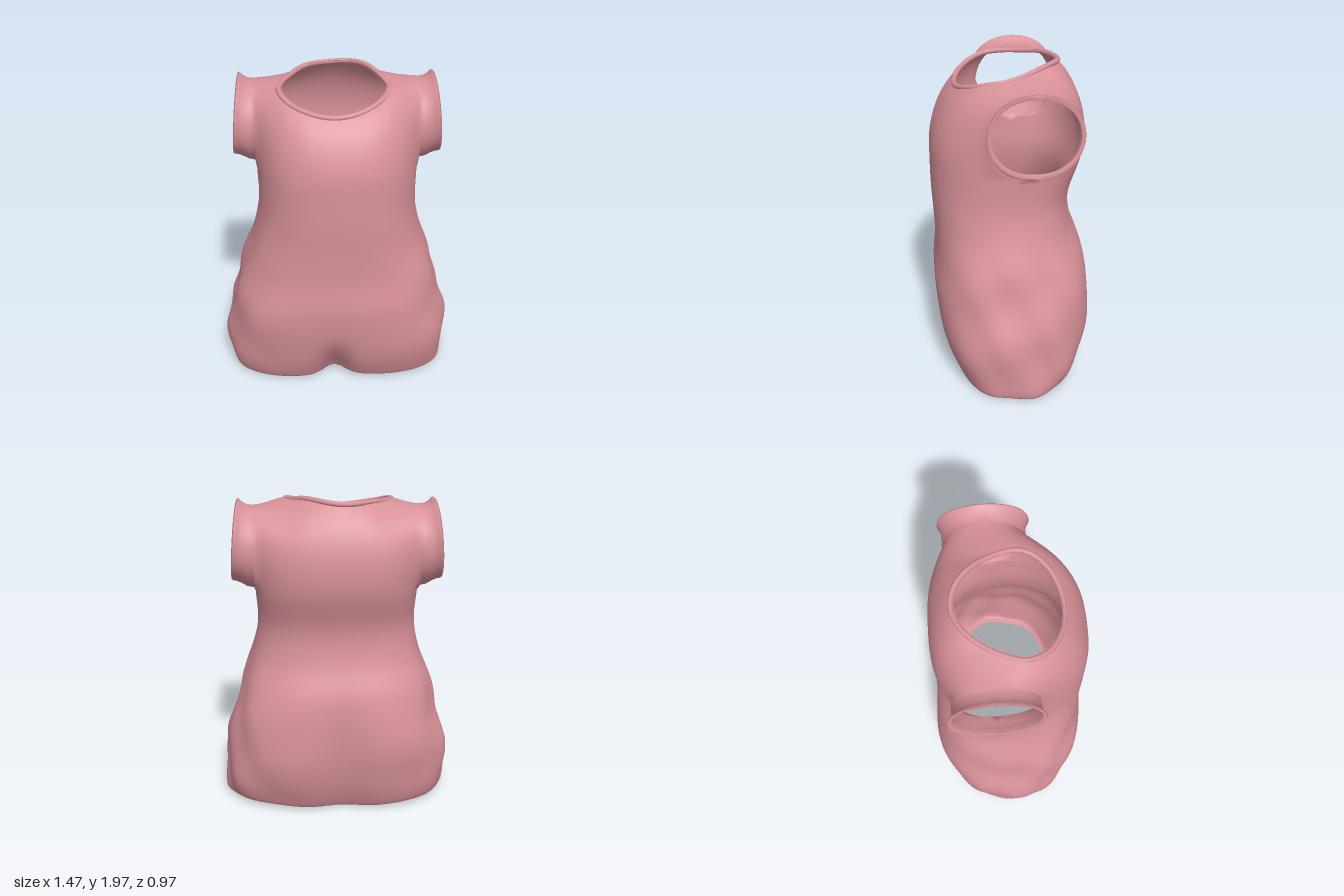
import * as THREE from 'three';
import { mergeVertices } from 'three/addons/utils/BufferGeometryUtils.js';

const { lerp, smoothstep } = THREE.MathUtils;
const NECK_X = -0.02, NECK_R = 0.305, NECK_Z = 0.07;
const CHEST = 0.49, CHEST_Y = 1.42, ARM_Z = -0.09;
const BODY_ROWS = 44, YOKE_ROWS = 18;

// Body sections from hem to chest: y, half width, front z, back z, side seam z, squareness
const SECTIONS = [
  [0.025, 0.67, 0.35, -0.38, 0, 2.6], [0.05, 0.715, 0.38, -0.41, 0, 2.6], [0.2, 0.725, 0.44, -0.465, 0, 2.6],
  [0.4, 0.7, 0.475, -0.5, 0, 2.7], [0.6, 0.645, 0.49, -0.495, 0, 2.8], [0.8, 0.595, 0.465, -0.455, 0, 2.7],
  [1.0, 0.525, 0.47, -0.38, 0, 2.6], [1.2, 0.485, 0.48, -0.36, -0.03, 2.6], [CHEST_Y, CHEST, 0.48, -0.425, ARM_Z, 2.6],
];
const sectionCurve = (a) => new THREE.CatmullRomCurve3(
  SECTIONS.map((s) => new THREE.Vector3(s[a], s[a + 1], s[a + 2])), false, 'catmullrom', 0.5);
const curveA = sectionCurve(0), curveB = sectionCurve(3);

// Sleeve rings going outward, then turning in at the rim: x, centre y, half height, half depth
const SLEEVE = [
  [0.515, 1.672, 0.238, 0.245], [0.55, 1.685, 0.23, 0.247], [0.58, 1.7, 0.232, 0.256],
  [0.597, 1.71, 0.238, 0.27], [0.605, 1.71, 0.234, 0.267], [0.598, 1.71, 0.208, 0.247],
];

// Depth of the neckline at x, for the front (side = 1) or back (side = -1)
function neckDepth(x, side) {
  const k = Math.max(0, 1 - ((x - NECK_X) / NECK_R) ** 2);
  return side > 0 ? NECK_Z + 0.235 * Math.sqrt(k) : NECK_Z - 0.35 * Math.pow(k, 0.7);
}

// Point of the body at width fraction f and row parameter t
function bodyPoint(f, t, side) {
  const a = curveA.getPoint(t), b = curveB.getPoint(t);
  const y = a.x, back = b.x, seam = b.y, n = b.z;
  const h = Math.pow(Math.max(0, 1 - Math.abs(f) ** n), 1 / n);
  let x = a.y * f;
  let z = seam + ((side > 0 ? a.z : back) - seam) * h;
  // Centre crease between the legs, narrow in front and broad behind
  const crease = (width) => Math.exp(-(((x + 0.03) / width) ** 2));
  if (side > 0) {
    z -= 0.1 * crease(0.09) * (1 - smoothstep(y, 0.03, 0.42));
    z -= 0.02 * crease(0.22) * (1 - smoothstep(y, 0.2, 0.75));
  } else {
    z += 0.05 * crease(0.17) * (1 - smoothstep(y, 0.3, 0.95));
  }
  // Soft cloth folds, strongest low on the sides
  const weight = (0.25 + 0.75 * f * f) * (1 - smoothstep(y, 0.5, 1.25));
  const fold = 1 + 0.014 * weight * (Math.sin(13 * y + 7 * z + 3 * x) + Math.sin(21 * z - 9 * y + 5 * x));
  x *= fold;
  z *= fold;
  const hem = 0.012 * Math.sin(6 * x + 4 * z) * (1 - smoothstep(y, 0.03, 0.25));
  return [x, y + hem, z];
}

// Bezier in the z-y plane, sampled up to parameter end
function arc(x, [p0, p1, p2, p3], end = 1, tilt = 0) {
  return Array.from({ length: YOKE_ROWS + 1 }, (_, i) => {
    const [z, y] = bezier(p0, p1, p2, p3, end * i / YOKE_ROWS);
    return [x + Math.sign(x) * tilt * (1.7 - y), y, z];
  });
}

function bezier(p0, p1, p2, p3, t) {
  const s = 1 - t;
  return [0, 1].map((k) => s * s * s * p0[k] + 3 * s * s * t * p1[k] + 3 * s * t * t * p2[k] + t * t * t * p3[k]);
}

// Shoulder part of one column, from the chest over to the ridge, cut off at the neckline
function yokeColumn(f, side) {
  const x = CHEST * f, ax = Math.abs(x);
  const m = smoothstep(ax, 0.15, CHEST), r = smoothstep(ax, 0.28, CHEST), v = smoothstep(ax, 0, 0.285);
  const p = Math.abs(f) ** 12;
  const base = bodyPoint(f, 1, side);
  const ridge = [lerp(NECK_Z, ARM_Z, r), lerp(side > 0 ? 1.93 : lerp(2.1, 1.93, v), 1.91, r)];
  const p1 = [
    lerp(base[2] * (side > 0 ? 1.01 : 1.15), ARM_Z + side * 0.32, p),
    lerp(side > 0 ? 1.62 : 1.65, CHEST_Y + 0.01, p),
  ];
  const p2 = side > 0 ? [lerp(0.37, 0.24, m), 1.912] : [-0.42, lerp(2.06, 1.915, m)];
  const points = [[base[2], base[1]], p1, p2, ridge];
  let end = 1;
  if (Math.abs(x - NECK_X) < NECK_R - 1e-6) {
    // Halve the interval until the curve meets the neckline
    const depth = neckDepth(x, side);
    let low = 0.4;
    for (let i = 0; i < 30; i++) {
      const mid = (low + end) / 2;
      if (side * (bezier(...points, mid)[0] - depth) > 0) low = mid;
      else end = mid;
    }
  }
  return arc(x, points, end);
}

function sleeveColumn([x, cy, ry, rz], sign, side) {
  const z = ARM_Z + side * rz * 4 / 3;
  return arc(sign * x, [[ARM_Z, cy - ry], [z, cy - ry], [z, cy + ry], [ARM_Z, cy + ry]], 1, 0.08);
}

// Width fractions of the columns, with one exactly at each end of the neckline
function columnFractions() {
  const list = [];
  for (let k = -16; k <= 16; k++) list.push((NECK_X + NECK_R * Math.sin(k * Math.PI / 32)) / CHEST);
  const left = list[32], right = list[0];
  for (let k = 1; k <= 14; k++) {
    const s = k === 14 ? 1 : Math.sin(k * Math.PI / 28);
    list.push(k === 14 ? 1 : lerp(left, 1, s));
    list.unshift(k === 14 ? -1 : lerp(right, -1, s));
  }
  return list;
}

// Stitch neighbouring columns into faces
function addGrid(columns, side, positions, index) {
  const start = positions.length / 3, rows = columns[0].length;
  columns.forEach((column) => column.forEach((p) => positions.push(...p)));
  for (let c = 0; c < columns.length - 1; c++) {
    for (let r = 0; r < rows - 1; r++) {
      const a = start + c * rows + r, b = a + rows;
      if (side > 0) index.push(a, b, b + 1, a, b + 1, a + 1);
      else index.push(a, b + 1, b, a, a + 1, b + 1);
    }
  }
}

function garmentGeometry(fractions) {
  const positions = [], index = [];
  for (const side of [1, -1]) {
    // Body panel
    addGrid(fractions.map((f) => Array.from({ length: BODY_ROWS + 1 },
      (_, i) => bodyPoint(f, i / BODY_ROWS, side))), side, positions, index);
    // Shoulders and both sleeves
    addGrid([
      ...SLEEVE.map((s) => sleeveColumn(s, -1, side)).reverse(),
      ...fractions.map((f) => yokeColumn(f, side)),
      ...SLEEVE.map((s) => sleeveColumn(s, 1, side)),
    ], side, positions, index);
  }
  const geometry = new THREE.BufferGeometry();
  geometry.setAttribute('position', new THREE.Float32BufferAttribute(positions, 3));
  geometry.setIndex(index);
  const welded = mergeVertices(geometry, 1e-4);
  welded.computeVertexNormals();
  return welded;
}

// Rolled edge just outside the neckline, following the top of the shoulder columns
function neckBindingGeometry(fractions) {
  const inside = fractions.filter((f) => Math.abs(CHEST * f - NECK_X) < NECK_R - 1e-3);
  const edge = (side) => inside.map((f) => {
    const [x, y, z] = yokeColumn(f, side)[YOKE_ROWS];
    return new THREE.Vector3(NECK_X + (x - NECK_X) * 1.05, y - 0.01, NECK_Z + (z - NECK_Z) * 1.05);
  });
  const path = new THREE.CatmullRomCurve3([...edge(1), ...edge(-1).reverse()], true);
  return new THREE.TubeGeometry(path, 96, 0.016, 8, true);
}

export function createModel() {
  const cloth = new THREE.MeshStandardMaterial({ color: 0xd9929a, side: THREE.DoubleSide });
  cloth.name = 'rose cloth';
  const group = new THREE.Group();
  group.name = 'sleevedGarment';
  const fractions = columnFractions();
  const parts = { garmentShell: garmentGeometry(fractions), neckBinding: neckBindingGeometry(fractions) };
  for (const [name, geometry] of Object.entries(parts)) {
    const mesh = new THREE.Mesh(geometry, cloth);
    mesh.name = name;
    group.add(mesh);
  }
  return group;
}
